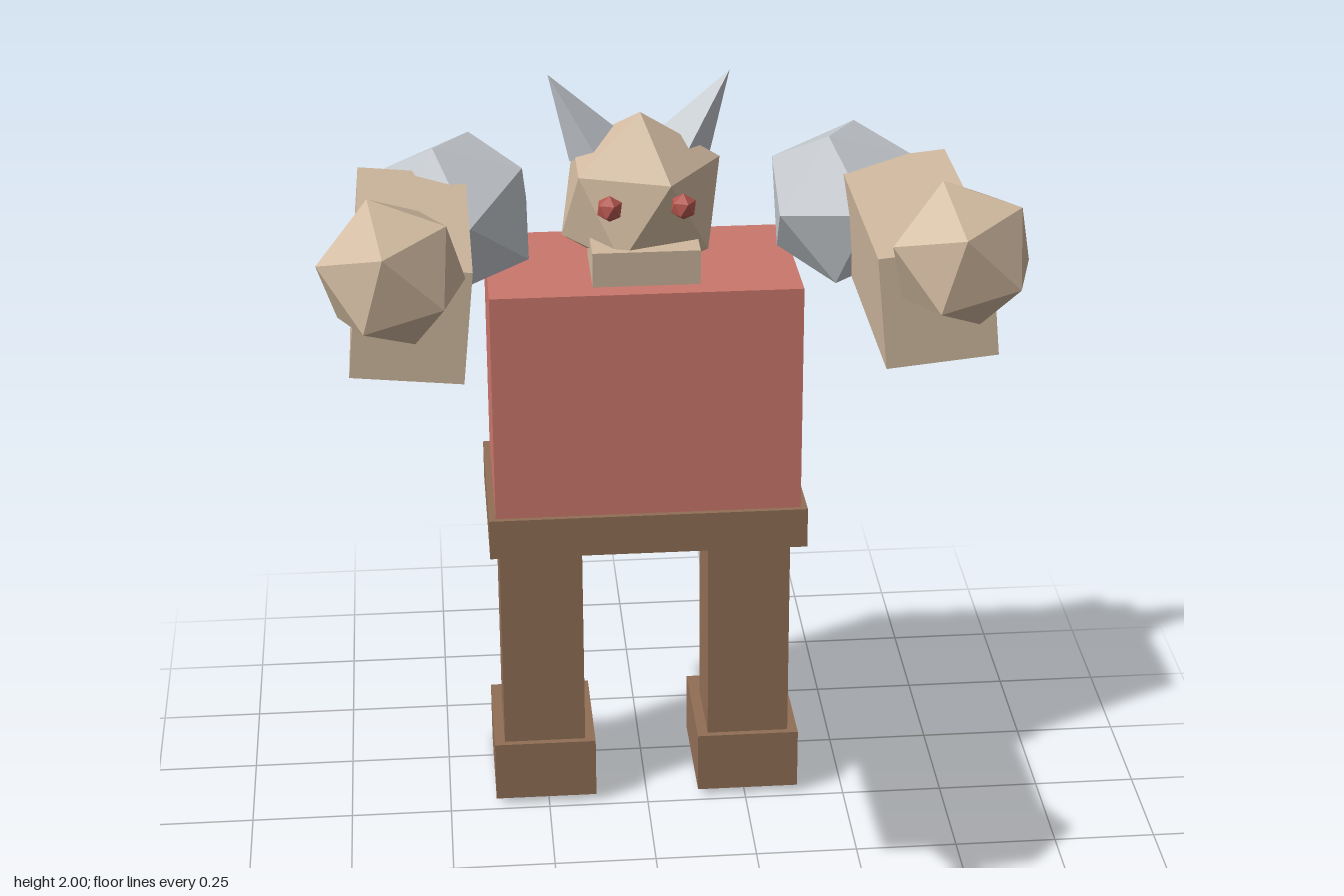
import * as THREE from 'three';

const material = (name, color) => {
  const m = new THREE.MeshStandardMaterial({ color, flatShading: true });
  m.name = name;
  return m;
};

export function createModel() {
  const red = material('clay red', 0xcb776c);
  const eyeRed = material('eye red', 0xb5564e);
  const brown = material('brown', 0x916f56);
  const tan = material('tan', 0xd0b99f);
  const steel = material('pale steel', 0xc3c8cd);

  const model = new THREE.Group();
  model.name = 'hornedBrute';

  const add = (name, geometry, mat, [x, y, z], [rx, ry, rz] = [0, 0, 0], order = 'XYZ') => {
    const mesh = new THREE.Mesh(geometry, mat);
    mesh.name = name;
    mesh.position.set(x, y, z);
    mesh.rotation.set(rx, ry, rz, order);
    model.add(mesh);
    return mesh;
  };
  const box = (w, h, d) => new THREE.BoxGeometry(w, h, d);
  // Icosahedron standing on a vertex, one upper-ring corner pointing to +x
  const gem = (r) =>
    new THREE.IcosahedronGeometry(r, 0).rotateZ(-Math.atan(2 / (1 + Math.sqrt(5))));
  // Four-sided spike whose tip sits at the origin, pointing up
  const spike = (r, h) => new THREE.ConeGeometry(r, h, 4).translate(0, -h / 2, 0);

  // Body leans slightly back
  const lean = [-0.056, 0, 0];
  add('torso', box(0.735, 0.567, 0.441), red, [0, 1.124, -0.451], lean);
  add('belt', box(0.767, 0.1, 0.473), brown, [0, 0.795, -0.435], lean);

  // Head, jaw
  add('head', gem(0.209), tan, [0, 1.58, -0.455]);
  add('jaw', box(0.252, 0.085, 0.19), tan, [0, 1.475, -0.36]);

  for (const s of [1, -1]) {
    const side = s > 0 ? 'left' : 'right';

    // Legs and feet
    add(side + 'Leg', box(0.203, 0.567, 0.218), brown, [s * 0.257, 0.45, -0.418], lean);
    add(side + 'Foot', box(0.254, 0.155, 0.32), brown, [s * 0.257, 0.0865, -0.434], lean);

    // Eyes and horns
    add(side + 'Eye', gem(0.032), eyeRed, [s * 0.085, 1.628, -0.266]);
    add(side + 'Horn', spike(0.07, 0.21), steel, [s * 0.212, 1.874, -0.489], [0, 0, -s * 0.54]);

    // Detached arm: shoulder with rear spike, forearm, fist
    add(side + 'Shoulder', gem(0.195), steel, [s * 0.437, 1.688, -0.126], [0.3, -0.1, 0.265], 'ZXY');
    add(side + 'ShoulderSpike', spike(0.12, 0.3), steel, [s * 0.444, 1.68, -0.476], [-Math.PI / 2, 0, 0]);
    add(side + 'Forearm', box(0.237, 0.247, 0.588), tan, [s * 0.545, 1.7, 0.215], [-0.04, 0, s * 0.1]);
    add(side + 'Fist', gem(0.16), tan, [s * 0.579, 1.849, 0.547], [-0.1, -0.26, 0.27], 'ZXY');
  }

  return model;
}
